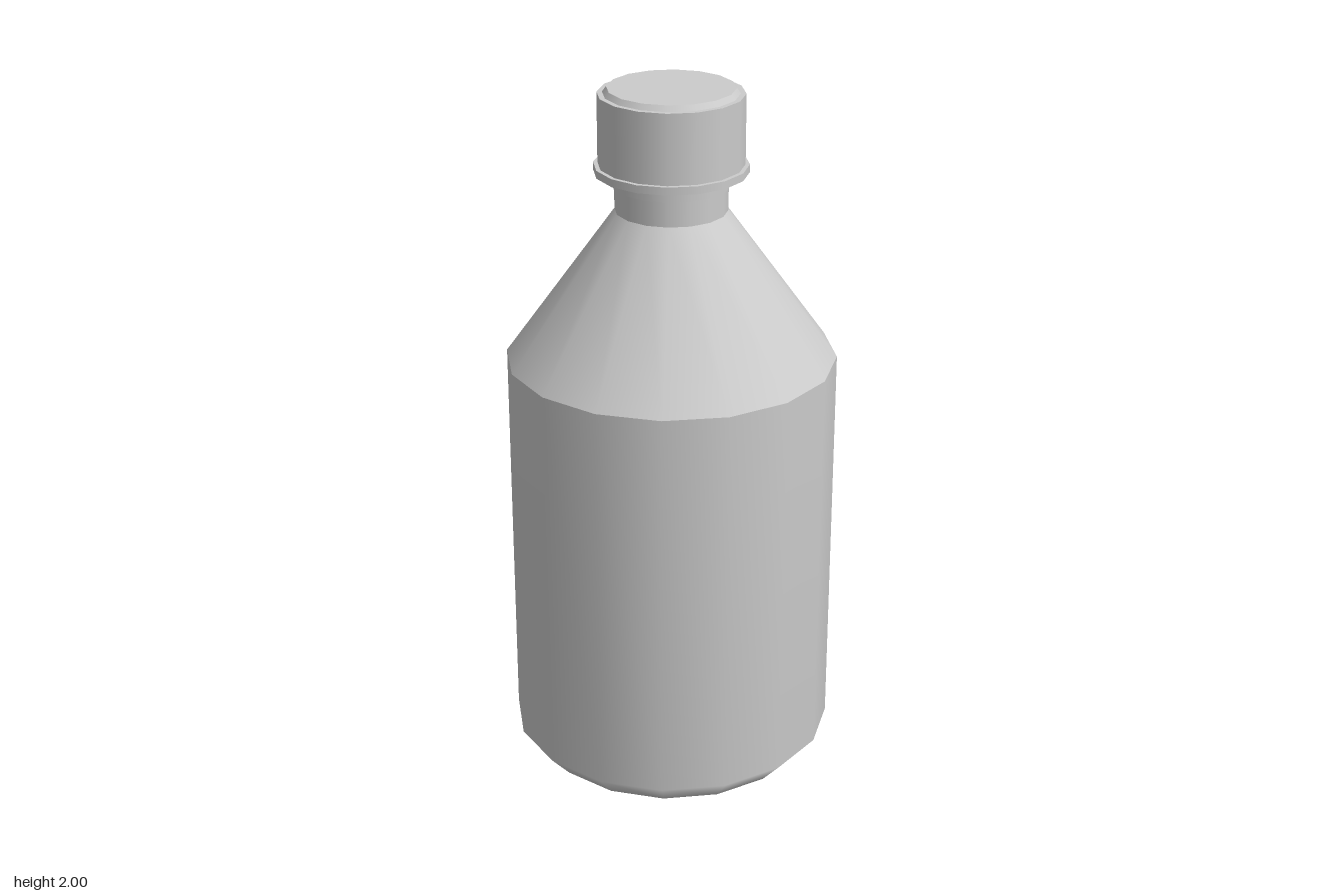
import * as THREE from 'three';
import { mergeGeometries } from 'three/addons/utils/BufferGeometryUtils.js';

const SIDES = 16;
const PHASE = THREE.MathUtils.degToRad(15);

// Each strip is a smooth run of [radius, height] points; edges between strips stay sharp
function turned(name, strips, material) {
  const parts = strips.map((strip) => new THREE.LatheGeometry(
    strip.map(([r, y]) => new THREE.Vector2(r, y)), SIDES, PHASE));
  const mesh = new THREE.Mesh(mergeGeometries(parts), material);
  mesh.name = name;
  return mesh;
}

// Turns a profile into one sharp-edged strip per segment
const sharp = (points) => points.slice(1).map((p, i) => [points[i], p]);

export function createModel() {
  const group = new THREE.Group();
  group.name = 'bottle';
  const material = new THREE.MeshStandardMaterial({ color: 0xcccccc });

  // Base, wall with softly shaded bottom bevel, and conical shoulder
  group.add(turned('body', [
    [[0, 0], [0.404, 0]],
    [[0.404, 0], [0.467, 0.07], [0.467, 1.228]],
    [[0.467, 1.228], [0.157, 1.657]],
  ], material));

  // Neck with its collar
  group.add(turned('neck', sharp([
    [0.157, 1.657], [0.157, 1.73], [0.165, 1.73], [0.165, 1.768],
  ]), material));

  // Screw cap with bottom flange and raised, bevelled top
  group.add(turned('cap', sharp([
    [0, 1.766], [0.214, 1.766], [0.214, 1.788], [0.202, 1.788],
    [0.202, 1.985], [0.187, 1.985], [0.176, 2], [0, 2],
  ]), material));

  return group;
}
